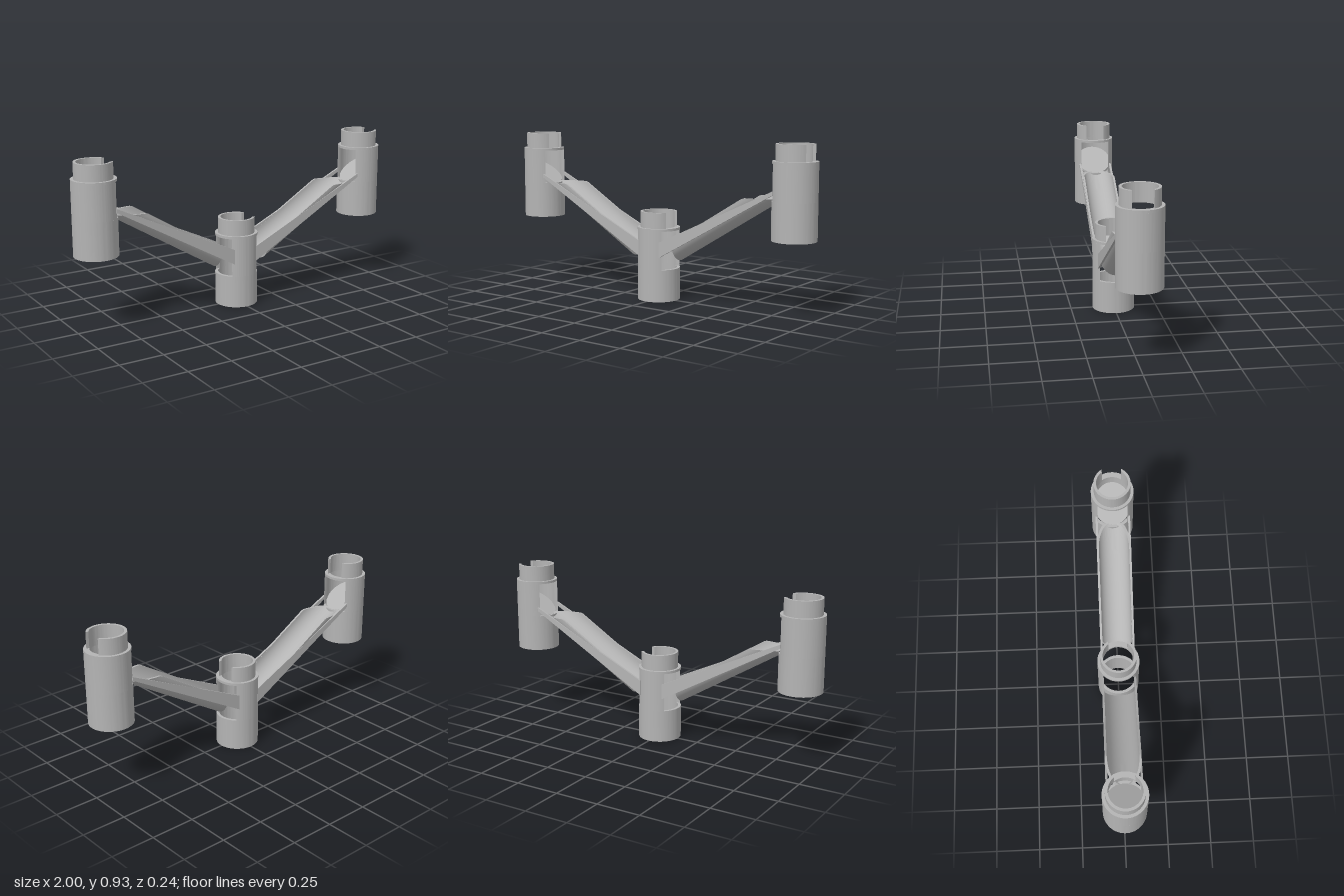
import * as THREE from 'three';
import { toCreasedNormals } from 'three/addons/utils/BufferGeometryUtils.js';

const OUTER = 0.122, INNER = 0.105, COLLAR_INNER = 0.09;
const SIDE_X = 0.878;   // distance of the side tubes from the centre
const SLOPE = 0.605;    // fall of the chute floor
const grey = new THREE.MeshStandardMaterial({ color: 0xb4b4b4 });
grey.name = 'plainGrey';

function part(name, geometry) {
  const mesh = new THREE.Mesh(toCreasedNormals(geometry, 0.6), grey);
  mesh.name = name;
  return mesh;
}

// Stand a flat outline up as a wall between two heights
function upright(shape, y0, y1) {
  const g = new THREE.ExtrudeGeometry(shape, { depth: y1 - y0, bevelEnabled: false, curveSegments: 48 });
  return g.rotateX(-Math.PI / 2).translate(0, y0, 0);
}

// Full pipe wall
function ring(name, ri, ro, y0, y1) {
  const shape = new THREE.Shape().absarc(0, 0, ro, 0, Math.PI * 2, false);
  shape.holes.push(new THREE.Path().absarc(0, 0, ri, 0, Math.PI * 2, true));
  return part(name, upright(shape, y0, y1));
}

// Pipe wall with a straight-sided opening facing +x, and facing -x too if both is set
function openRing(name, ri, ro, y0, y1, halfGap, both = false) {
  const ao = Math.asin(halfGap / ro), ai = Math.asin(halfGap / ri);
  const sector = (from, to) => {
    const s = new THREE.Shape();
    s.absarc(0, 0, ro, from + ao, to - ao, false);
    s.absarc(0, 0, ri, to - ai, from + ai, true);
    return s;
  };
  const shapes = both
    ? [sector(0, Math.PI), sector(Math.PI, Math.PI * 2)]
    : sector(0, Math.PI * 2);
  return part(name, upright(shapes, y0, y1));
}

// Slotted socket on top of a tube
function collar(x, y) {
  const c = openRing('collar', COLLAR_INNER, INNER, y, y + 0.09, 0.055);
  c.position.x = x;
  return c;
}

// Sloping half pipe, built from vertical cross-sections along x
function chuteGeometry() {
  const SECTIONS = 40, ARC = 24, x0 = 0.157, x1 = 0.78;
  const stretch = Math.sqrt(1 + SLOPE * SLOPE);
  const loops = [];
  for (let i = 0; i <= SECTIONS; i++) {
    const x = x0 + (x1 - x0) * i / SECTIONS;
    const axis = 0.357 + SLOPE * (x - x0);
    const cap = Math.min(axis, 0.636);
    const arc = (r) => {
      const h = r * stretch;
      const limit = Math.acos(Math.min(1, (axis - cap) / h));
      return Array.from({ length: ARC + 1 }, (_, j) => {
        const t = limit * (2 * j / ARC - 1);
        return [x, axis - h * Math.cos(t), r * Math.sin(t)];
      });
    };
    loops.push([...arc(0.1), ...arc(0.088).reverse()]);
  }
  const pos = [], n = loops[0].length;
  const quad = (a, b, c, d) => pos.push(...a, ...b, ...c, ...a, ...c, ...d);
  for (let i = 0; i < SECTIONS; i++) {
    for (let j = 0; j < n; j++) {
      const k = (j + 1) % n;
      quad(loops[i][j], loops[i + 1][j], loops[i + 1][k], loops[i][k]);
    }
  }
  const low = loops[0], high = loops[SECTIONS];
  for (let j = 0; j < ARC; j++) {
    quad(low[j], low[j + 1], low[n - 2 - j], low[n - 1 - j]);
    quad(high[j + 1], high[j], high[n - 1 - j], high[n - 2 - j]);
  }
  const g = new THREE.BufferGeometry();
  g.setAttribute('position', new THREE.Float32BufferAttribute(pos, 3));
  g.computeVertexNormals();
  return g;
}

// Tapering side rail of the chute
function railGeometry(z) {
  const shape = new THREE.Shape([
    [0.072, 0.345], [0.072, 0.258], [0.8, 0.664], [0.8, 0.685],
  ].map(([x, y]) => new THREE.Vector2(x, y)));
  return new THREE.ExtrudeGeometry(shape, { depth: 0.012, bevelEnabled: false }).translate(0, 0, z - 0.006);
}

// One arm on the +x side: chute, rails and side tube with its window toward the centre
function arm(name) {
  const group = new THREE.Group();
  group.name = name;
  group.add(part('chute', chuteGeometry()));
  for (const z of [-0.0945, 0.0945]) group.add(part('rail', railGeometry(z)));

  const tube = new THREE.Group();
  tube.name = 'sideTube';
  tube.position.x = SIDE_X;
  const windowWall = openRing('windowWall', INNER, OUTER, 0.63, 0.826, 0.087);
  windowWall.rotation.y = Math.PI;
  tube.add(ring('lowerWall', INNER, OUTER, 0.42, 0.63), windowWall);
  tube.add(ring('topLip', COLLAR_INNER, OUTER, 0.826, 0.84));

  // Tilted floor that leads into the chute
  const floor = new THREE.CylinderGeometry(0.106, 0.106, 0.012, 48);
  const p = floor.attributes.position;
  for (let i = 0; i < p.count; i++) p.setY(i, p.getY(i) + 0.688 + SLOPE * p.getX(i));
  floor.computeVertexNormals();
  tube.add(part('slopingFloor', floor));
  group.add(tube);
  return group;
}

export function createModel() {
  const model = new THREE.Group();
  model.name = 'tubeJunction';

  // Centre tube with a window on each side
  const centre = new THREE.Group();
  centre.name = 'centreTube';
  centre.add(
    ring('lowerWall', INNER, OUTER, 0, 0.185),
    openRing('windowWall', INNER, OUTER, 0.185, 0.406, 0.0895, true),
    ring('topLip', COLLAR_INNER, OUTER, 0.406, 0.42),
  );
  model.add(centre);

  // Mirrored arms
  const left = arm('leftArm'), right = arm('rightArm');
  right.rotation.y = Math.PI;
  model.add(left, right);

  // Sockets, all slotted toward +x
  model.add(collar(0, 0.42), collar(SIDE_X, 0.84), collar(-SIDE_X, 0.84));
  return model;
}
